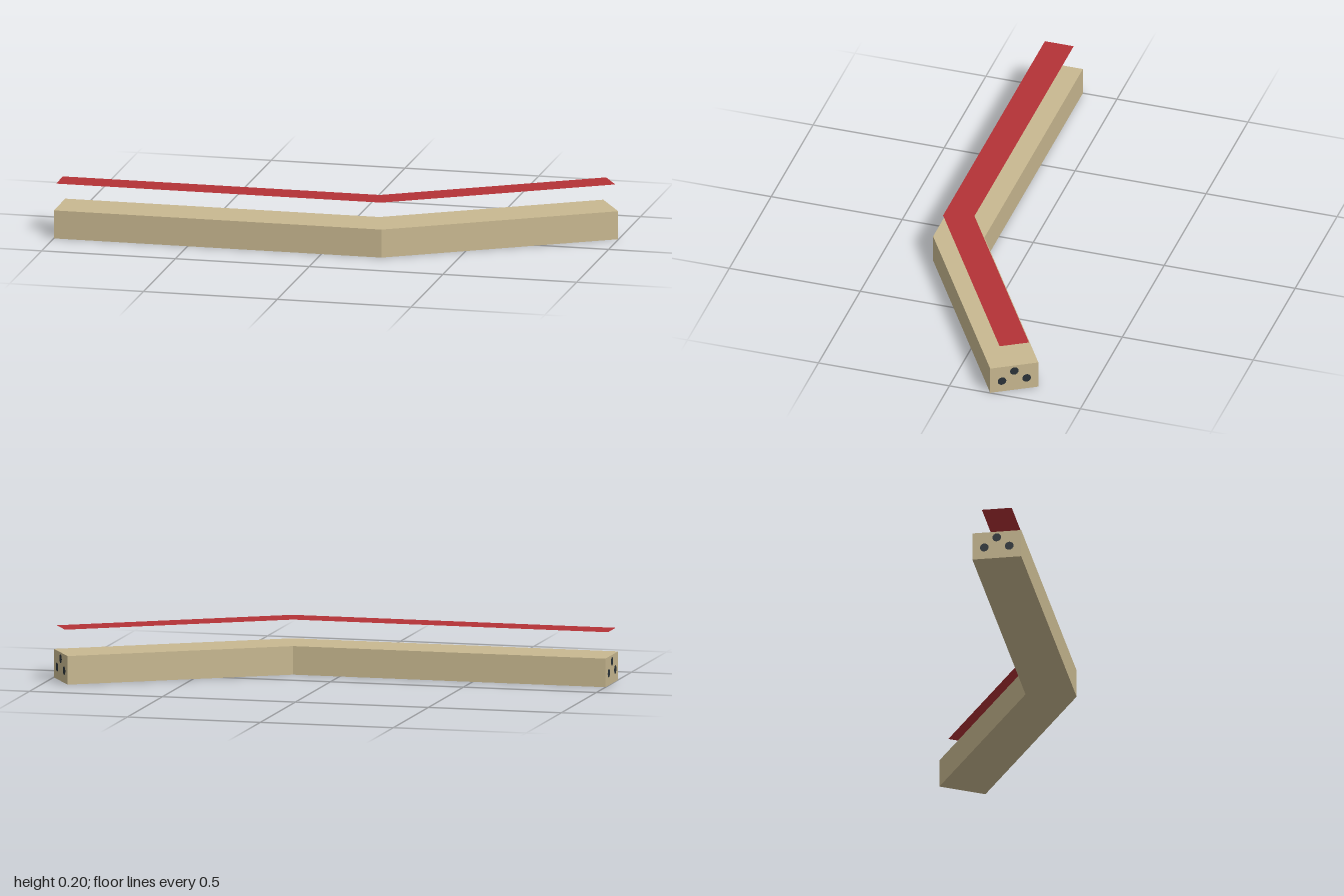
import * as THREE from 'three';

// Centre line of the bent run, as (x, z)
const START = new THREE.Vector2(-1, 0.22);
const BEND = new THREE.Vector2(0.2, 0.22);
const END = new THREE.Vector2(0.9525, -0.2325);
const ANGLE = Math.atan2(BEND.y - END.y, END.x - BEND.x);

// Mitred outline around the centre line, drawn in (x, -z)
function runShape(half) {
  const side = (s) => {
    const o = half * s;
    return [
      new THREE.Vector2(START.x, -(START.y + o)),
      new THREE.Vector2(BEND.x + o * Math.tan(ANGLE / 2), -(BEND.y + o)),
      new THREE.Vector2(END.x + o * Math.sin(ANGLE), -(END.y + o * Math.cos(ANGLE))),
    ];
  };
  return new THREE.Shape([...side(1), ...side(-1).reverse()]);
}

export function createModel() {
  const group = new THREE.Group();
  const tan = new THREE.MeshStandardMaterial({ name: 'tan', color: 0xc8b890 });
  const red = new THREE.MeshStandardMaterial({ name: 'red', color: 0xb43236, side: THREE.DoubleSide });
  const dark = new THREE.MeshStandardMaterial({ name: 'darkSlate', color: 0x2a3238 });

  const add = (name, geometry, material, parent = group) => {
    const mesh = new THREE.Mesh(geometry, material);
    mesh.name = name;
    parent.add(mesh);
    return mesh;
  };

  // Solid bent duct
  const duct = new THREE.ExtrudeGeometry(runShape(0.09), { depth: 0.105, bevelEnabled: false });
  add('duct', duct.rotateX(-Math.PI / 2), tan);

  // Thin strip floating above the duct
  const strip = add('coverStrip', new THREE.ShapeGeometry(runShape(0.055)).rotateX(-Math.PI / 2), red);
  strip.position.y = 0.197;

  // Three round ports on each end face
  const ports = [[-0.046, 0.045], [0.046, 0.045], [0, 0.082]];
  const addPorts = (name, at, turn) => {
    const face = new THREE.Group();
    face.name = name;
    face.position.set(at.x, 0, at.y);
    face.rotation.y = turn;
    for (const [x, y] of ports) {
      add('port', new THREE.CircleGeometry(0.016, 24), dark, face).position.set(x, y, 0.001);
    }
    group.add(face);
  };
  addPorts('straightEndPorts', START, -Math.PI / 2);
  addPorts('angledEndPorts', END, Math.PI / 2 + ANGLE);

  return group;
}
